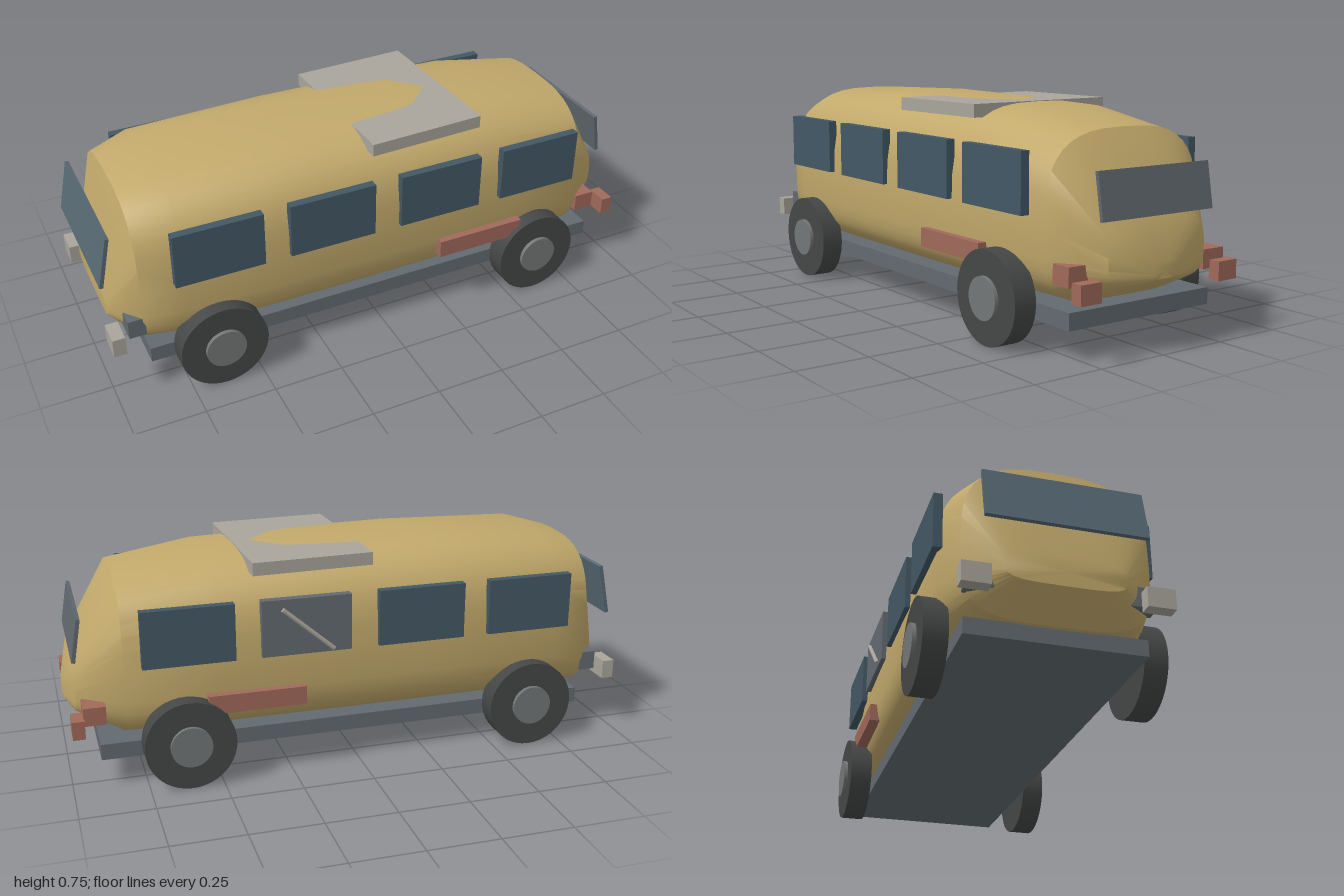
import * as THREE from 'three';
import { toCreasedNormals } from 'three/addons/utils/BufferGeometryUtils.js';

const paint = (color) => new THREE.MeshStandardMaterial({ color });
const gold = paint(0xc2a96b), glass = paint(0x435865), slate = paint(0x626a70), dark = paint(0x454747);
const hubGrey = paint(0x737776), pale = paint(0xa9a59b), red = paint(0xa0695a), rearGlass = paint(0x60686e);

// Body sections along x: [x, bottom, widest height, top, half width]
const SECTIONS = [
  [-0.97, 0.24, 0.29, 0.34, 0.19],
  [-0.88, 0.15, 0.40, 0.70, 0.305],
  [-0.74, 0.15, 0.42, 0.74, 0.345],
  [-0.24, 0.15, 0.42, 0.755, 0.35],
  [0.13, 0.15, 0.42, 0.75, 0.35],
  [0.50, 0.15, 0.42, 0.74, 0.345],
  [0.81, 0.15, 0.40, 0.69, 0.318],
  [0.965, 0.22, 0.32, 0.43, 0.20],
  [1.0, 0.24, 0.27, 0.30, 0.045],
];

// Lofted shell: rounder roof corners, tighter floor corners
function bodyGeometry(n = 40) {
  const pos = [], index = [];
  for (const [x, lo, mid, hi, w] of SECTIONS) {
    for (let j = 0; j < n; j++) {
      const a = (j / n) * Math.PI * 2, c = Math.cos(a), s = Math.sin(a);
      const p = 2 / (s >= 0 ? 3 : 4);
      const z = w * Math.sign(c) * Math.abs(c) ** p;
      const h = Math.abs(s) ** p;
      pos.push(x, s >= 0 ? mid + (hi - mid) * h : mid - (mid - lo) * h, z);
    }
  }
  const last = SECTIONS.length - 1;
  for (let i = 0; i < last; i++) {
    for (let j = 0; j < n; j++) {
      const k = (j + 1) % n, a = i * n + j, b = i * n + k;
      index.push(a, a + n, b, b, a + n, b + n);
    }
  }
  // End caps
  for (const i of [0, last]) {
    const centre = pos.length / 3, [x, , mid] = SECTIONS[i];
    pos.push(x, mid, 0);
    for (let j = 0; j < n; j++) {
      const a = i * n + j, b = i * n + ((j + 1) % n);
      index.push(centre, ...(i === 0 ? [a, b] : [b, a]));
    }
  }
  const g = new THREE.BufferGeometry();
  g.setAttribute('position', new THREE.Float32BufferAttribute(pos, 3));
  g.setIndex(index);
  return toCreasedNormals(g, 0.7);
}

export function createModel() {
  const group = new THREE.Group();

  const add = (name, geometry, material, x = 0, y = 0, z = 0) => {
    const mesh = new THREE.Mesh(geometry, material);
    mesh.name = name;
    mesh.position.set(x, y, z);
    group.add(mesh);
    return mesh;
  };
  // Box given by its limits on each axis
  const box = (name, material, [x0, x1], [y0, y1], [z0, z1]) =>
    add(name, new THREE.BoxGeometry(x1 - x0, y1 - y0, z1 - z0), material,
      (x0 + x1) / 2, (y0 + y1) / 2, (z0 + z1) / 2);
  // Box on one side: z limits measured outwards from the middle
  const sideBox = (name, material, side, xs, ys, [z0, z1]) =>
    box(name, material, xs, ys, side > 0 ? [z0, z1] : [-z1, -z0]);

  add('body', bodyGeometry(), gold);
  box('chassis', slate, [-0.865, 0.9], [0.098, 0.154], [-0.293, 0.293]);

  // Roof plate, slightly askew, with the roof crown showing through it
  box('roofPlate', pale, [-0.048, 0.378], [0.70, 0.745], [-0.29, 0.29]).rotation.y = 0.04;

  // Slanted end windows
  const endWindow = (name, material, x, y, height, width, tilt) => {
    add(name, new THREE.BoxGeometry(0.013, height, width), material, x, y, 0).rotation.z = tilt;
  };
  endWindow('noseWindow', rearGlass, 0.952, 0.505, 0.152, 0.456, 0.17);
  endWindow('tailWindow', paint(0x566973), -0.973, 0.522, 0.186, 0.52, -0.21);

  const tyre = new THREE.CylinderGeometry(0.156, 0.156, 0.08, 40).rotateX(Math.PI / 2);
  const hub = new THREE.CylinderGeometry(0.071, 0.071, 0.03, 32).rotateX(Math.PI / 2);

  for (const side of [1, -1]) {
    // Wheels
    for (const x of [-0.632, 0.61]) {
      add('tyre', tyre, dark, x, 0.156, side * 0.353);
      add('hub', hub, hubGrey, x, 0.156, side * 0.392);
    }
    // Side windows; one on the right side is a grey hatch
    [-0.775, -0.37, 0.042, 0.443].forEach((x, i) => {
      const hatch = side < 0 && i === 2;
      sideBox(hatch ? 'hatchPanel' : 'sideWindow', hatch ? slate : glass, side,
        [x, x + 0.312], [0.434, 0.631], [0.335, 0.366]);
    });
    sideBox('sideTrim', red, side, [0.203, 0.54], [0.252, 0.317], [0.33, 0.372]);

    // Corner lamps
    const shift = side > 0 ? 0 : 0.04;
    sideBox('noseInnerLamp', red, side, [0.835 + shift, 0.91 + shift], [0.232, 0.296], [0.215, 0.305]);
    sideBox('noseOuterLamp', red, side, [0.948, 0.99], [0.196, 0.26], [0.245, 0.325]);
    sideBox('tailInnerLamp', slate, side, [-0.932, -0.872], [0.228, 0.296], [0.215, 0.3]);
    sideBox('tailOuterLamp', pale, side, [-0.996, -0.952], [0.197, 0.265], [0.24, 0.332]);
  }

  // Diagonal bar across the hatch
  const bar = add('hatchBar', new THREE.CylinderGeometry(0.008, 0.008, 0.235, 12), pale, 0.195, 0.521, -0.37);
  bar.rotation.z = -Math.atan2(0.18, 0.155);

  return group;
}
